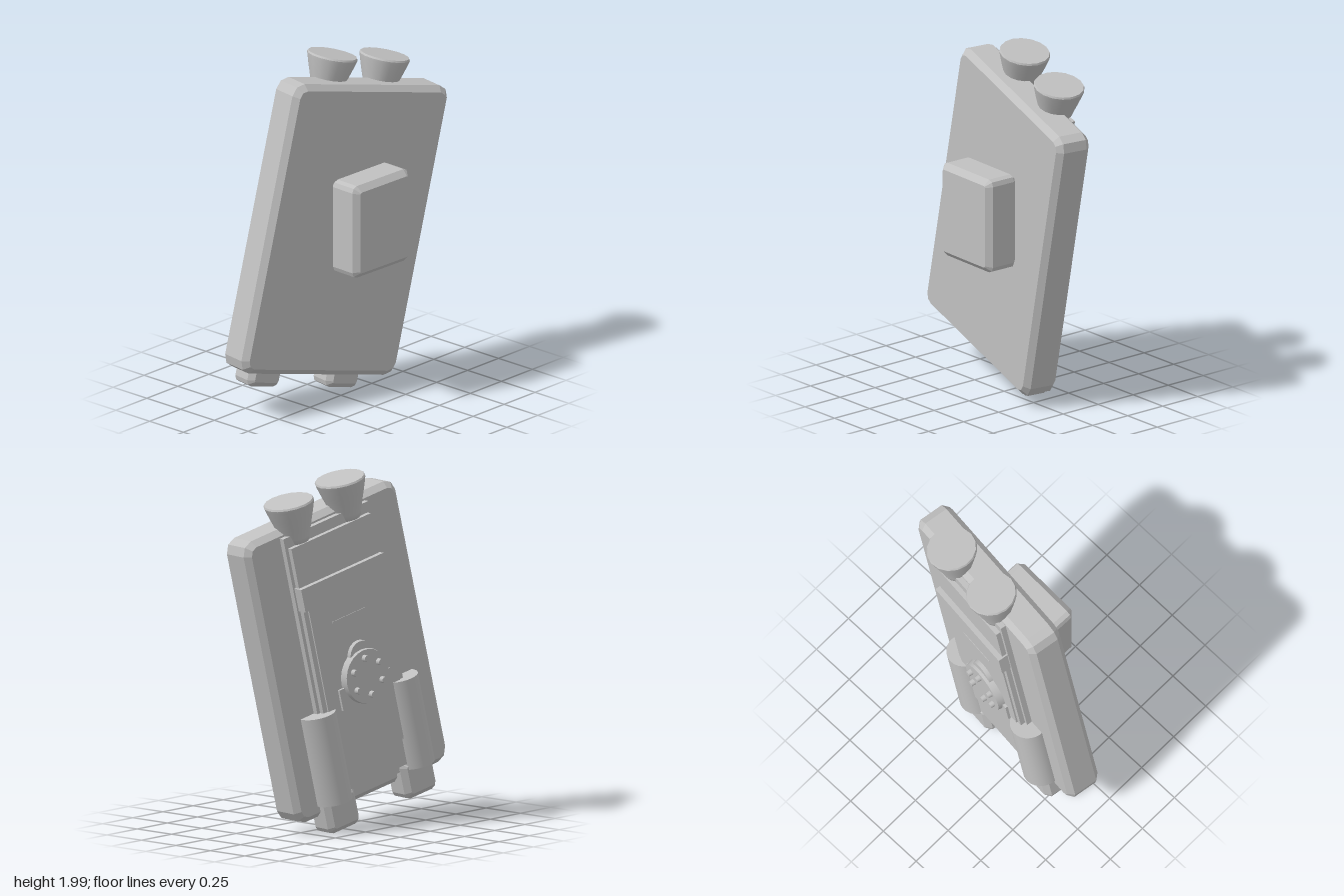
import * as THREE from 'three';

const grey = new THREE.MeshStandardMaterial({ color: 0xc0c0c0 });
grey.name = 'light grey';

function add(parent, name, geometry, x, y, z) {
  const mesh = new THREE.Mesh(geometry, grey);
  mesh.name = name;
  mesh.position.set(x, y, z);
  parent.add(mesh);
  return mesh;
}

// Box with cut corners (cut) and bevelled rims (bevel), thickness along x
function chamferBox(w, h, d, cut, bevel) {
  const a = d / 2, b = h / 2;
  const k = cut * 0.3;
  const pts = [];
  for (const [sx, sy] of [[1, 1], [-1, 1], [-1, -1], [1, -1]]) {
    const corner = [[a, b - cut], [a - k, b - k], [a - cut, b]];
    if (sx * sy < 0) corner.reverse();
    for (const [x, y] of corner) pts.push(new THREE.Vector2(sx * x, sy * y));
  }
  const g = new THREE.ExtrudeGeometry(new THREE.Shape(pts), {
    depth: w - 2 * bevel, bevelEnabled: true, bevelSegments: 1,
    bevelSize: bevel, bevelThickness: bevel, bevelOffset: -bevel,
  });
  g.translate(0, 0, -(w - 2 * bevel) / 2);
  g.rotateY(Math.PI / 2);
  return g;
}

// Plate on the -x side, from depth x0 out to x1
function plate(parent, name, x0, x1, y0, y1, z0, z1) {
  return add(parent, name, new THREE.BoxGeometry(x0 - x1, y1 - y0, z1 - z0),
    (x0 + x1) / 2, (y0 + y1) / 2, (z0 + z1) / 2);
}

// Cylinder whose axis points along x
function disc(parent, name, r0, r1, x0, x1, y, z, sides) {
  const g = new THREE.CylinderGeometry(r1, r0, x0 - x1, sides);
  g.rotateZ(Math.PI / 2);
  return add(parent, name, g, (x0 + x1) / 2, y, z);
}

export function createModel() {
  const model = new THREE.Group();
  model.name = 'model';

  // Everything but the side block leans as one
  const pack = new THREE.Group();
  pack.name = 'pack';
  pack.rotation.order = 'YXZ';
  pack.rotation.set(-0.238, -0.16, 0);
  pack.position.set(-0.032, 0.99, 0.005);
  model.add(pack);

  // Main slab
  add(pack, 'slab', chamferBox(0.207, 1.646, 1.105, 0.07, 0.032), 0, 0, 0);

  // Layered panel on the -x face
  plate(pack, 'basePlate', -0.09, -0.135, -0.76, 0.78, -0.31, 0.31);
  plate(pack, 'panel', -0.1, -0.163, -0.72, 0.72, -0.29, 0.29);
  plate(pack, 'innerPanel', -0.15, -0.172, -0.57, 0.36, -0.26, 0.26);
  plate(pack, 'crossBand', -0.13, -0.193, 0.355, 0.488, -0.3, 0.3);
  plate(pack, 'seam', -0.17, -0.175, 0.225, 0.232, -0.12, 0.12);

  // Dial with a knob, a backing plate and six studs
  const cy = -0.13, cz = 0.02;
  plate(pack, 'dialPlate', -0.16, -0.187, cy - 0.14, cy - 0.02, -0.17, 0.2);
  disc(pack, 'knob', 0.085, 0.08, -0.16, -0.195, cy + 0.12, cz, 20);
  disc(pack, 'dial', 0.16, 0.15, -0.16, -0.212, cy, cz, 24);
  for (let i = 0; i < 6; i++) {
    const a = (i + 0.5) * Math.PI / 3;
    disc(pack, 'stud', 0.02, 0.017, -0.205, -0.237,
      cy + 0.105 * Math.sin(a), cz + 0.105 * Math.cos(a), 10);
  }

  const bell = [[0, 0.7], [0.068, 0.7], [0.082, 0.75], [0.1, 0.81], [0.12, 0.87], [0.138, 0.93], [0.141, 0.943]]
    .map(([r, y]) => new THREE.Vector2(r, y));
  for (const s of [-1, 1]) {
    // Flared nozzles on top, closed with flat lids
    add(pack, 'nozzle', new THREE.LatheGeometry(bell, 16), -0.083, 0, s * 0.187);
    add(pack, 'nozzleLid', new THREE.CylinderGeometry(0.136, 0.141, 0.01, 16), -0.083, 0.948, s * 0.187);
    // Round tanks low on the -x face
    add(pack, 'tank', new THREE.CylinderGeometry(0.107, 0.107, 0.51, 24), -0.115, -0.5, s * 0.3);
    // Feet
    add(pack, 'foot', chamferBox(0.165, 0.22, 0.225, 0.035, 0.03), -0.085, -0.815, s * 0.28);
  }

  // Upright block on the +x side
  const block = add(model, 'sideBlock', chamferBox(0.21, 0.535, 0.435, 0.035, 0.032), 0.199, 1.075, -0.022);
  block.rotation.y = -0.03;

  return model;
}
